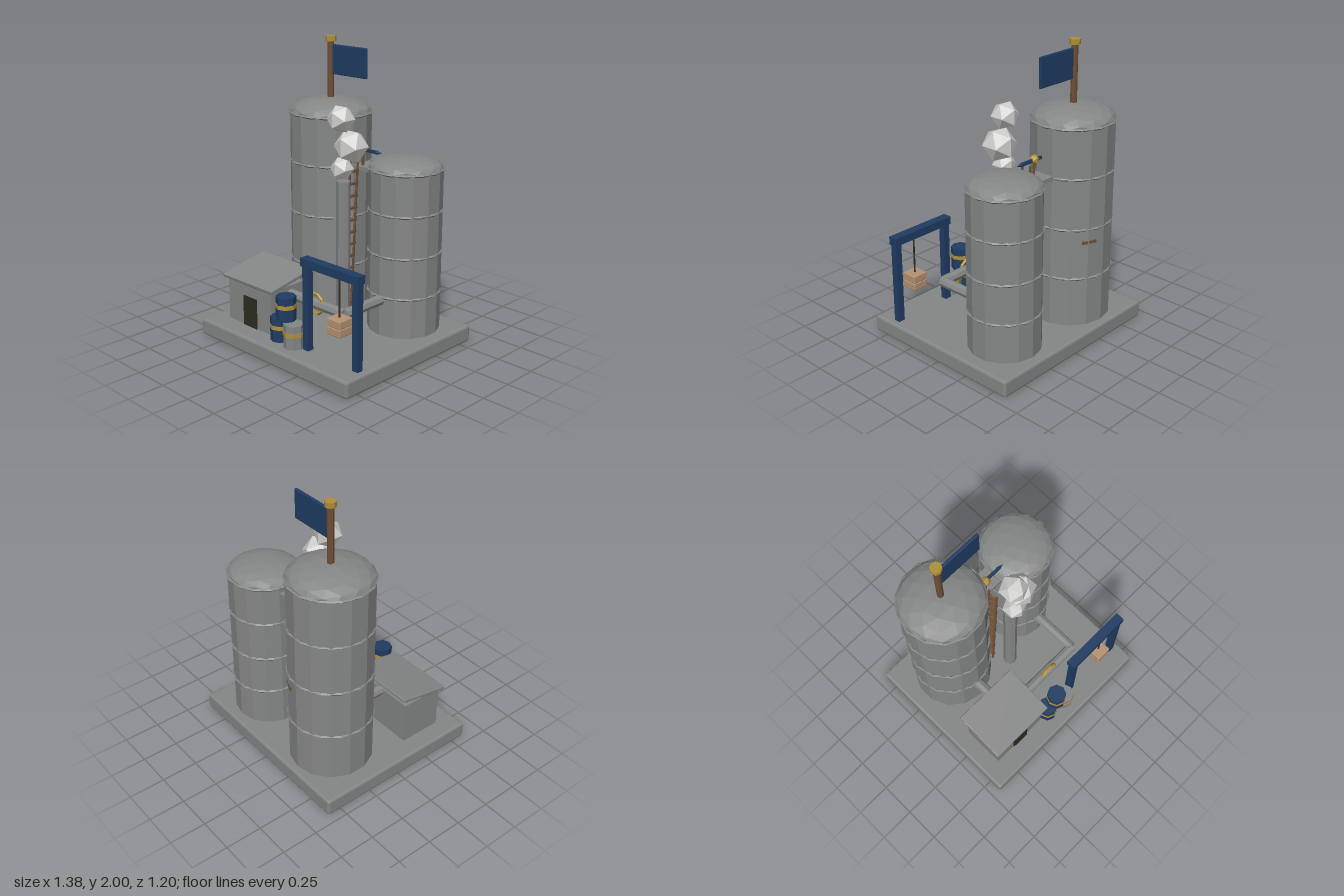
import * as THREE from 'three';
import { RoundedBoxGeometry } from 'three/addons/geometries/RoundedBoxGeometry.js';

const material = (name, color) => {
  const m = new THREE.MeshStandardMaterial({ color });
  m.name = name;
  return m;
};

export function createModel() {
  const model = new THREE.Group();
  model.name = 'siloYard';

  const steel = material('steel grey', 0x858786);
  const blue = material('navy blue', 0x1f3c63);
  const gold = material('gold', 0xb08f38);
  const brown = material('brown wood', 0x6e4f36);
  const tan = material('crate tan', 0xb59273);
  const smoke = material('smoke white', 0xcfcfcd);
  const dark = material('dark door', 0x2e2d20);

  // Helpers: faceted mesh, box, upright cylinder, rod between two points
  function add(name, geometry, mat, x, y, z, parent = model) {
    const g = geometry.index ? geometry.toNonIndexed() : geometry;
    g.computeVertexNormals();
    const mesh = new THREE.Mesh(g, mat);
    mesh.name = name;
    mesh.position.set(x, y, z);
    parent.add(mesh);
    return mesh;
  }
  function box(name, mat, w, h, d, x, y, z, parent) {
    return add(name, new THREE.BoxGeometry(w, h, d), mat, x, y, z, parent);
  }
  function bevelBox(name, mat, w, h, d, x, y, z, r, parent) {
    return add(name, new RoundedBoxGeometry(w, h, d, 1, r), mat, x, y, z, parent);
  }
  function drum(name, mat, r, y0, y1, x, z, sides, parent) {
    return add(name, new THREE.CylinderGeometry(r, r, y1 - y0, sides), mat, x, (y0 + y1) / 2, z, parent);
  }
  function rod(name, mat, r, a, b, sides, parent) {
    const from = new THREE.Vector3(...a), to = new THREE.Vector3(...b);
    const dir = to.clone().sub(from);
    const mid = from.add(to).multiplyScalar(0.5);
    const mesh = add(name, new THREE.CylinderGeometry(r, r, dir.length(), sides), mat, mid.x, mid.y, mid.z, parent);
    mesh.quaternion.setFromUnitVectors(new THREE.Vector3(0, 1, 0), dir.normalize());
    return mesh;
  }
  function group(name) {
    const g = new THREE.Group();
    g.name = name;
    model.add(g);
    return g;
  }

  // Ground slab
  const floor = 0.115;
  bevelBox('groundSlab', steel, 1.38, floor, 1.2, 0, floor / 2, 0, 0.015);

  // Silos with faceted domes and thin hoops
  function silo(name, x, z, r, top, domeHeight, hoops) {
    const g = group(name);
    drum('siloBody', steel, r, floor, top, x, z, 14, g);
    const dome = new THREE.IcosahedronGeometry(r, 2).scale(1, domeHeight / r, 1);
    add('siloDome', dome, steel, x, top, z, g);
    for (const y of hoops) {
      const hoop = new THREE.TorusGeometry(r, 0.009, 4, 14).rotateX(Math.PI / 2);
      add('siloHoop', hoop, steel, x, y, z, g);
    }
  }
  silo('tallSilo', -0.305, -0.27, 0.28, 1.49, 0.1, [0.46, 0.81, 1.16, 1.49]);
  silo('shortSilo', 0.36, -0.29, 0.243, 1.215, 0.075, [0.385, 0.66, 0.94, 1.21]);
  const patch = box('siloPatch', brown, 0.1, 0.02, 0.009, -0.194, 0.72, -0.521);
  patch.rotation.y = Math.atan2(0.11, -0.25);

  // Flag on the tall silo
  drum('flagPole', brown, 0.022, 1.55, 1.97, -0.305, -0.27, 8);
  drum('flagPoleCap', gold, 0.037, 1.965, 2, -0.305, -0.27, 8);
  bevelBox('flag', blue, 0.31, 0.2, 0.02, -0.13, 1.845, -0.27, 0.006);

  // Catwalk with a wind vane
  box('catwalk', steel, 0.2, 0.03, 0.14, 0.04, 1.16, -0.27);
  const vane = group('windVane');
  drum('vaneMast', brown, 0.009, 1.17, 1.28, 0.03, -0.235, 6, vane);
  add('vaneHub', new THREE.IcosahedronGeometry(0.036, 0), gold, 0.03, 1.28, -0.235, vane);
  box('vaneArm', blue, 0.18, 0.02, 0.018, 0.06, 1.28, -0.24, vane);
  add('vaneTip', new THREE.ConeGeometry(0.014, 0.045, 6).rotateZ(-Math.PI / 2), blue, 0.172, 1.28, -0.24, vane);

  // Leaning ladder
  const ladder = group('ladder');
  const lean = (y) => -0.035 + 0.055 * (y - floor) / 1.1;
  for (const z of [-0.195, -0.125]) {
    rod('ladderRail', brown, 0.008, [lean(floor), floor, z], [lean(1.22), 1.22, z], 6, ladder);
  }
  for (let y = 0.2; y < 1.2; y += 0.086) {
    box('ladderRung', brown, 0.022, 0.014, 0.08, lean(y), y, -0.16, ladder);
  }

  // Chimney and smoke
  drum('chimney', steel, 0.047, floor, 1.11, 0.048, -0.03, 8);
  for (const [x, y, z, r] of [[0.06, 1.2, -0.005, 0.08], [0.122, 1.355, -0.025, 0.115], [0.05, 1.525, -0.005, 0.095]]) {
    add('smokePuff', new THREE.IcosahedronGeometry(r, 0), smoke, x, y, z);
  }

  // Shed with sloping roof
  const shed = group('shed');
  box('shedBody', steel, 0.43, 0.305, 0.3, -0.347, floor + 0.1525, 0.305, shed);
  const roof = bevelBox('shedRoof', steel, 0.49, 0.026, 0.375, -0.345, 0.462, 0.3, 0.006, shed);
  roof.rotation.x = 0.19;
  box('shedDoor', dark, 0.13, 0.21, 0.009, -0.341, floor + 0.105, 0.458, shed);

  // Pipes
  rod('shedPipe', steel, 0.037, [-0.305, 0.4, -0.05], [-0.305, 0.4, 0.2], 8);
  rod('siloPipe', steel, 0.036, [0.36, 0.36, -0.1], [0.36, 0.36, 0.28], 8);
  rod('crossPipe', steel, 0.036, [-0.15, 0.36, 0.28], [0.36, 0.36, 0.28], 8);
  add('valveWheel', new THREE.TorusGeometry(0.068, 0.012, 5, 10), gold, 0.112, 0.365, 0.29);

  // Barrels
  function barrel(mat, x, y, z) {
    const g = group('barrel');
    drum('barrelBody', mat, 0.067, y, y + 0.162, x, z, 8, g);
    drum('barrelBand', gold, 0.071, y + 0.085, y + 0.112, x, z, 8, g);
  }
  barrel(blue, -0.053, floor, 0.45);
  barrel(steel, 0.095, floor, 0.47);
  barrel(blue, 0.015, floor + 0.163, 0.46);

  // Gantry with a hanging crate
  const gantry = group('gantry');
  for (const x of [0.19, 0.621]) box('gantryPost', blue, 0.048, 0.58, 0.045, x, floor + 0.29, 0.435, gantry);
  box('gantryBeam', blue, 0.493, 0.055, 0.064, 0.404, 0.707, 0.435, gantry);
  drum('hoistCable', dark, 0.006, 0.41, 0.69, 0.47, 0.435, 6, gantry);
  for (const y of [0.339, 0.393]) bevelBox('crateHalf', tan, 0.112, 0.054, 0.114, 0.47, y, 0.435, 0.006, gantry);

  return model;
}
